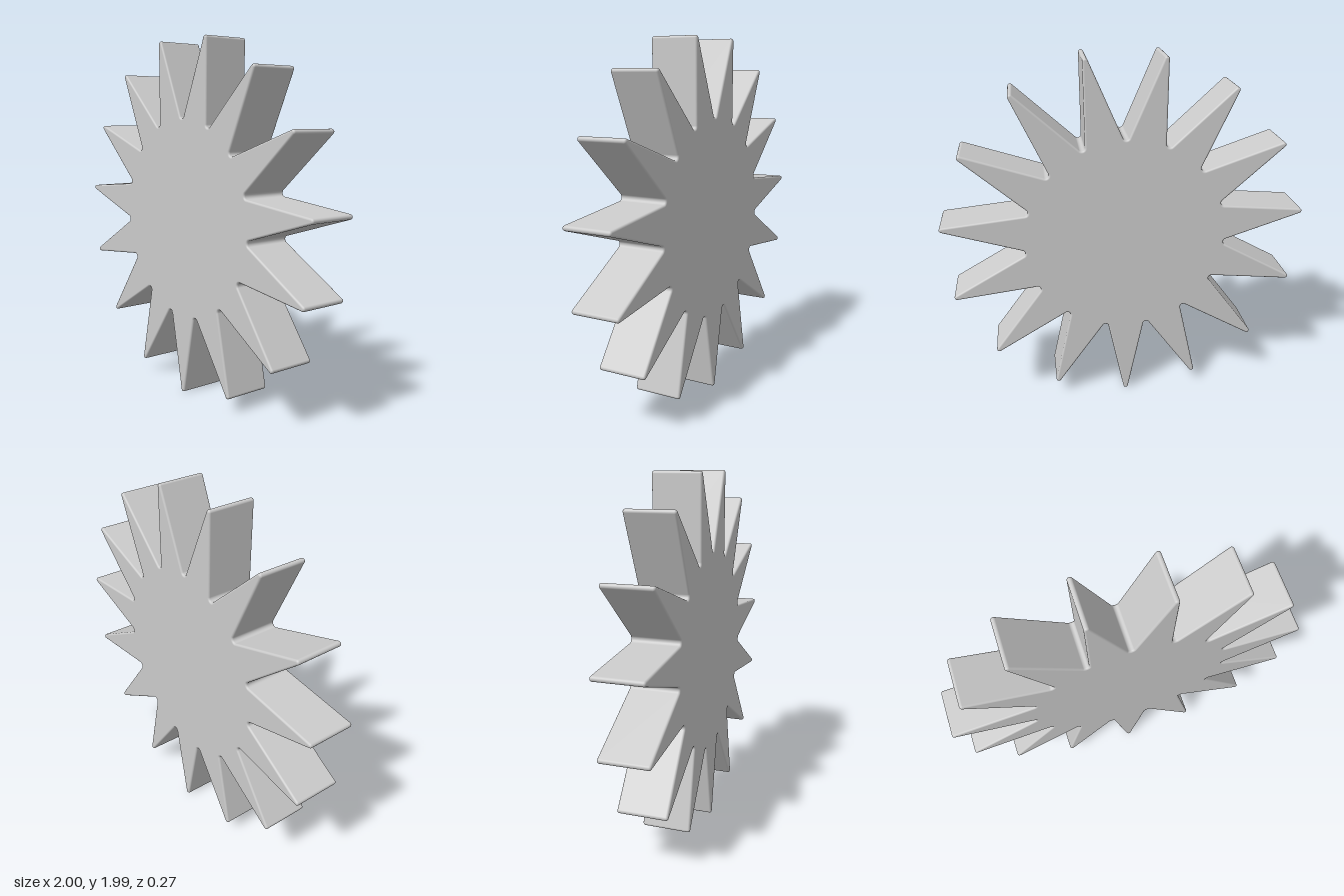
import * as THREE from 'three';

const POINTS = 15;
const APEX = 1.06;        // radius of the sharp tip, before rounding
const INNER = 0.53;       // radius of the sharp valley, before rounding
const TIP_ROUND = 0.0137;
const VALLEY_ROUND = 0.018;
const HALF_DEPTH = 0.135;
const BEVEL = 0.011;
const CENTRE_Y = 1.005;

// Counter-clockwise outline: position and outward direction of every point
function starOutline() {
  const half = Math.PI / POINTS;
  const alpha = Math.atan2(INNER * Math.sin(half), APEX - INNER * Math.cos(half));
  const beta = alpha + half;
  const outline = [];

  const addArc = (axis, centreRadius, radius, sweep, steps) => {
    for (let k = 0; k <= steps; k++) {
      const phi = axis + sweep * ((2 * k) / steps - 1);
      const nx = Math.cos(phi), ny = Math.sin(phi);
      outline.push({
        x: centreRadius * Math.cos(axis) + radius * nx,
        y: centreRadius * Math.sin(axis) + radius * ny,
        nx, ny,
      });
    }
  };

  for (let i = 0; i < POINTS; i++) {
    const axis = -Math.PI / 2 + 2 * half * i;
    addArc(axis, APEX - TIP_ROUND / Math.sin(alpha), TIP_ROUND, Math.PI / 2 - alpha, 10);
    addArc(axis + half, INNER + VALLEY_ROUND / Math.sin(beta), -VALLEY_ROUND, beta - Math.PI / 2, 8);
  }
  return outline;
}

// Side wall with rounded front and back edges
function rimGeometry(outline) {
  const rows = [];
  const steps = 4;
  for (const side of [-1, 1]) {
    for (let k = 0; k <= steps; k++) {
      const t = (Math.PI / 2) * (side < 0 ? k / steps - 1 : k / steps);
      rows.push({ t, z: side * (HALF_DEPTH - BEVEL) + BEVEL * Math.sin(t) });
    }
  }

  const positions = [], normals = [], index = [];
  const n = outline.length;
  rows.forEach(({ t, z }, j) => {
    const inset = BEVEL * (1 - Math.cos(t));
    outline.forEach((p, i) => {
      positions.push(p.x - p.nx * inset, p.y - p.ny * inset, z);
      normals.push(p.nx * Math.cos(t), p.ny * Math.cos(t), Math.sin(t));
      if (j === rows.length - 1) return;
      const a = j * n + i, b = j * n + ((i + 1) % n);
      index.push(a, b, a + n, b, b + n, a + n);
    });
  });

  const geometry = new THREE.BufferGeometry();
  geometry.setAttribute('position', new THREE.Float32BufferAttribute(positions, 3));
  geometry.setAttribute('normal', new THREE.Float32BufferAttribute(normals, 3));
  geometry.setIndex(index);
  return geometry;
}

export function createModel() {
  const material = new THREE.MeshStandardMaterial({ color: 0xcccccc });
  const outline = starOutline();

  const star = new THREE.Group();
  star.name = 'star';
  star.position.y = CENTRE_Y;

  const rim = new THREE.Mesh(rimGeometry(outline), material);
  rim.name = 'rim';
  star.add(rim);

  // Flat faces, inset by the rounded edge
  const face = new THREE.ShapeGeometry(new THREE.Shape(
    outline.map((p) => new THREE.Vector2(p.x - p.nx * BEVEL, p.y - p.ny * BEVEL))
  ));
  const frontFace = new THREE.Mesh(face, material);
  frontFace.name = 'frontFace';
  frontFace.position.z = HALF_DEPTH;

  const backFace = new THREE.Mesh(face, material);
  backFace.name = 'backFace';
  backFace.position.z = -HALF_DEPTH;
  backFace.rotation.y = Math.PI;
  star.add(frontFace, backFace);

  const model = new THREE.Group();
  model.name = 'starburst';
  model.add(star);
  return model;
}
